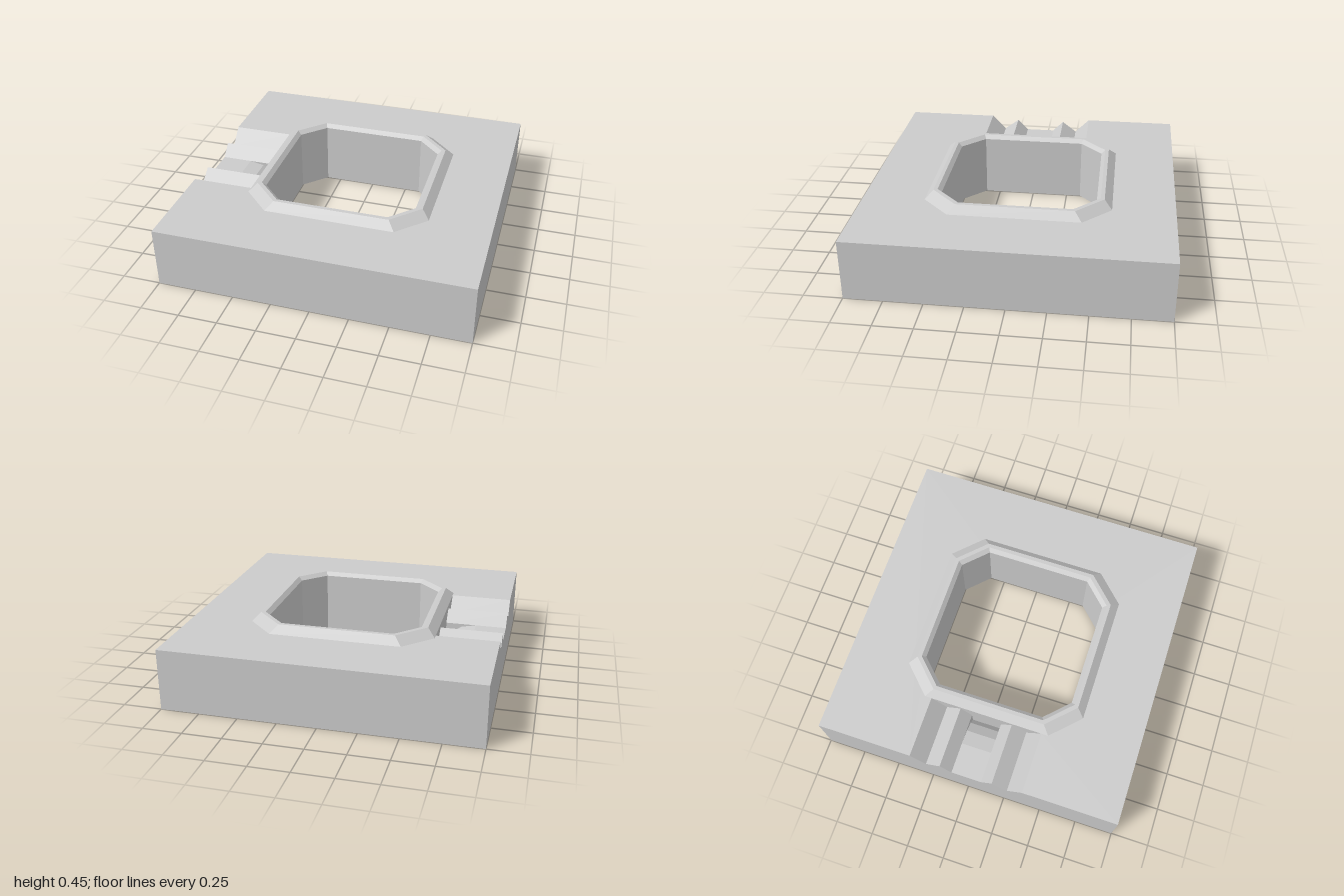
import * as THREE from 'three';

const material = new THREE.MeshStandardMaterial({ color: 0xcccccc, flatShading: true });
const HEIGHT = 0.4, GROOVE = 0.375, LANE = 0.1, INNER_X = -0.6;

const points = (list) => list.map(([x, y]) => new THREE.Vector2(x, y));

// Square with clipped corners: flats at distance h, each flat reaching to c
const octagon = (h, c) => [[h, -c], [h, c], [c, h], [-c, h], [-h, c], [-h, -c], [-c, -h], [c, -h]];

function extrude(profile, depth, holes = []) {
  const shape = new THREE.Shape(points(profile));
  holes.forEach((hole) => shape.holes.push(new THREE.Path(points(hole))));
  return new THREE.ExtrudeGeometry(shape, { depth, bevelEnabled: false });
}

// Faceted bands between successive octagons [h, c, y]
function loft(sections) {
  const rings = sections.map(([h, c, y]) => octagon(h, c).map(([x, z]) => [x, y, z]));
  const positions = [];
  for (let r = 0; r < rings.length - 1; r++) {
    for (let i = 0; i < 8; i++) {
      const j = (i + 1) % 8;
      const a = rings[r], b = rings[r + 1];
      positions.push(...a[i], ...b[i], ...a[j], ...b[i], ...b[j], ...a[j]);
    }
  }
  const geometry = new THREE.BufferGeometry();
  geometry.setAttribute('position', new THREE.Float32BufferAttribute(positions, 3));
  geometry.computeVertexNormals();
  return geometry;
}

export function createModel() {
  const model = new THREE.Group();
  const add = (name, geometry) => {
    const mesh = new THREE.Mesh(geometry, material);
    mesh.name = name;
    model.add(mesh);
  };

  // Slab with the central opening and a notch for the side channel
  const plan = [[-1, -1], [1, -1], [1, 1], [-1, 1],
    [-1, GROOVE], [INNER_X, GROOVE], [INNER_X, -GROOVE], [-1, -GROOVE]];
  add('slab', extrude(plan, HEIGHT, [octagon(0.5, 0.35)]).rotateX(-Math.PI / 2));

  // Bevelled rim around the opening
  add('rim', loft([
    [0.6, 0.42, HEIGHT], [0.55, 0.375, 0.45], [0.525, 0.362, 0.45],
    [0.5, 0.35, 0.425], [0.5, 0.35, HEIGHT],
  ]));

  // Ridge and V groove on each side of the channel
  for (const side of [1, -1]) {
    const profile = [[LANE, 0], [GROOVE, 0], [GROOVE, HEIGHT], [0.275, 0.3], [0.175, 0.375], [LANE, 0.3]];
    const geometry = extrude(profile.map(([z, y]) => [side * z, y]), 0.4);
    add(side > 0 ? 'frontChannelRidge' : 'backChannelRidge',
      geometry.rotateY(-Math.PI / 2).translate(INNER_X, 0, 0));
  }

  // Channel floor, curving down towards the rim
  const floor = [[-1, 0], [INNER_X, 0], [INNER_X, 0.185], [-0.636, 0.235], [-0.704, 0.281], [-0.8, 0.3], [-1, 0.3]];
  add('channelFloor', extrude(floor, 2 * LANE).translate(0, 0, -LANE));

  return model;
}
